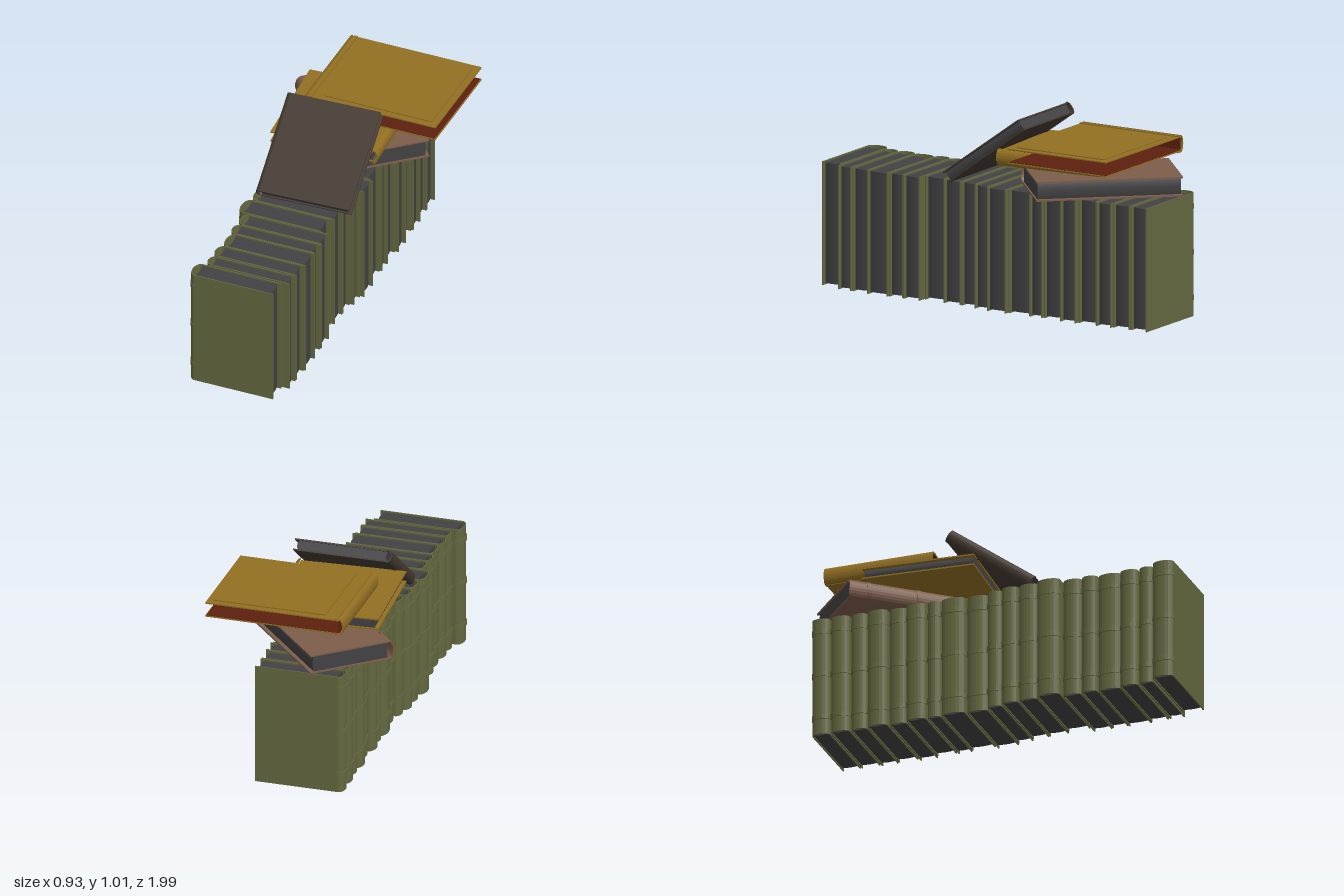
import * as THREE from 'three';

const mat = (name, hex, side = THREE.FrontSide) => {
  const m = new THREE.MeshStandardMaterial({ color: hex, side });
  m.name = name;
  return m;
};

export function createModel() {
  const green = mat('green cloth', 0x64683f);
  const ochre = mat('ochre cloth', 0x926f22);
  const brown = mat('brown leather', 0x7d5d4b);
  const umber = mat('dark umber leather', 0x433830);
  const paper = mat('dark page block', 0x424244);
  const red = mat('dark red lining', 0x5e200e);

  const model = new THREE.Group();
  model.name = 'bookPile';

  const add = (group, name, geometry, material, x = 0, y = 0, z = 0) => {
    const mesh = new THREE.Mesh(geometry, material);
    mesh.name = name;
    mesh.position.set(x, y, z);
    group.add(mesh);
    return mesh;
  };

  // Extrudes a thickness-wise outline along the height of the book
  const upright = (shape, h) =>
    new THREE.ExtrudeGeometry(shape, { depth: h, bevelEnabled: false, curveSegments: 10 })
      .translate(0, 0, -h / 2).rotateX(-Math.PI / 2);

  // Curved shell bulging towards -x from the hinge line
  const shell = (x, bulge, halfT, wall, h) => {
    const s = new THREE.Shape();
    const n = 10, at = (i, a, b) => {
      const t = Math.PI * (0.5 + i / n);
      return [x + a * Math.cos(t), b * Math.sin(t)];
    };
    s.moveTo(...at(0, bulge, halfT));
    for (let i = 1; i <= n; i++) s.lineTo(...at(i, bulge, halfT));
    for (let i = n; i >= 0; i--) s.lineTo(...at(i, bulge - wall, halfT - wall));
    s.closePath();
    return upright(s, h);
  };

  // Book with spine on -x, height on y and thickness on z
  function makeBook(name, o) {
    const { w, h, t, cloth, cover = 0.006, bulge = 0.03, spineT = t, bands = [], pages = true } = o;
    const g = new THREE.Group();
    g.name = name;
    const hinge = -w / 2 + bulge, coverW = w - bulge, cx = bulge / 2;
    for (const s of [1, -1]) {
      add(g, s > 0 ? 'frontCover' : 'backCover', new THREE.BoxGeometry(coverW, h, cover), cloth,
        cx, 0, s * (t - cover) / 2);
    }
    add(g, 'spine', shell(hinge, bulge, spineT / 2, 0.006, h), cloth);
    for (const y of bands) {
      add(g, 'spineBand', shell(hinge + 0.004, bulge + 0.009, spineT / 2 + 0.004, 0.01, 0.025), cloth, 0, y * h);
    }
    if (pages) {
      const p = t / 2 - cover, x1 = w / 2 - 0.014;
      const s = new THREE.Shape();
      s.moveTo(hinge, -p);
      s.lineTo(x1 - 0.008, -p);
      s.quadraticCurveTo(x1 + 0.006, 0, x1 - 0.008, p);
      s.lineTo(hinge, p);
      s.quadraticCurveTo(hinge + 0.014, 0, hinge, -p);
      add(g, 'pages', upright(s, h - 0.016), paper);
    }
    return g;
  }

  // Places a book: across points from spine to fore edge, normal is the cover's direction
  const place = (book, across, normal, centre) => {
    const z = new THREE.Vector3(...normal).normalize();
    const x = new THREE.Vector3(...across);
    x.addScaledVector(z, -x.dot(z)).normalize();
    const y = new THREE.Vector3().crossVectors(z, x);
    book.quaternion.setFromRotationMatrix(new THREE.Matrix4().makeBasis(x, y, z));
    book.position.set(...centre);
    model.add(book);
  };

  // Row of standing volumes: [front z, back z, fore edge x]
  const row = [
    [0.992, 0.882, 0.14], [0.872, 0.794, 0.18], [0.786, 0.692, 0.18], [0.69, 0.57, 0.19],
    [0.568, 0.484, 0.18], [0.48, 0.382, 0.185], [0.378, 0.258, 0.14], [0.254, 0.152, 0.16],
    [0.148, 0.06, 0.16], [0.056, -0.025, 0.18], [-0.03, -0.142, 0.2], [-0.148, -0.274, 0.18],
    [-0.278, -0.352, 0.19], [-0.358, -0.463, 0.18], [-0.467, -0.56, 0.2], [-0.566, -0.672, 0.18],
    [-0.676, -0.765, 0.19], [-0.77, -0.87, 0.18], [-0.876, -0.972, 0.18],
  ];
  for (const [a, b, fore] of row) {
    const book = makeBook('standingBook', {
      w: 0.465, h: 0.64, t: a - b, cloth: green, bands: [-0.35, 0.018, 0.39],
    });
    place(book, [1, 0, 0], [0, 0, 1], [fore - 0.2325, 0.32, (a + b) / 2]);
  }

  // Large brown volume lying flat and turned
  place(makeBook('brownBook', {
    w: 0.464, h: 0.75, t: 0.102, cloth: brown, cover: 0.008, bands: [-0.36, 0, 0.36],
  }), [0.743, 0, -0.668], [0, 1, 0], [-0.043, 0.7, -0.565]);

  // Lower ochre volume, spine to the left
  place(makeBook('lowerOchreBook', {
    w: 0.575, h: 0.59, t: 0.062, spineT: 0.086, cloth: ochre, cover: 0.008, bulge: 0.028,
  }), [-0.998, 0, 0.065], [0, 1, 0], [-0.067, 0.81, -0.385]);

  // Empty ochre binding on top, with panels, hinges and lining
  const w = 0.73, h = 0.588, t = 0.078;
  const binding = makeBook('emptyOchreBinding', {
    w, h, t, spineT: 0.09, cloth: ochre, bulge: 0.022, pages: false,
  });
  for (const s of [1, -1]) {
    add(binding, 'coverPanel', new THREE.BoxGeometry(0.59, h - 0.07, 0.006), ochre, 0.035, 0, s * (t / 2 + 0.002));
    add(binding, 'hingeRidge', new THREE.BoxGeometry(0.018, h, 0.008), ochre, -0.325, 0, s * (t / 2 + 0.001));
    add(binding, 'coverLining', new THREE.BoxGeometry(w - 0.03, h - 0.006, 0.002), red, 0.01, 0, s * (t / 2 - 0.007));
  }
  add(binding, 'spineLining', new THREE.BoxGeometry(0.004, 0.22, t - 0.016), red, -0.343, 0.18, 0);
  place(binding, [1, 0, 0], [0, 1, 0], [0.1, 0.887, -0.615]);

  // Dark volume leaning back against the stack
  place(makeBook('leaningBook', {
    w: 0.512, h: 0.545, t: 0.062, cloth: umber, cover: 0.008, bulge: 0.024, spineT: 0.07,
  }), [1, 0.01, -0.03], [0.01, 0.81, 0.59], [-0.04, 0.826, -0.01]);

  return model;
}
